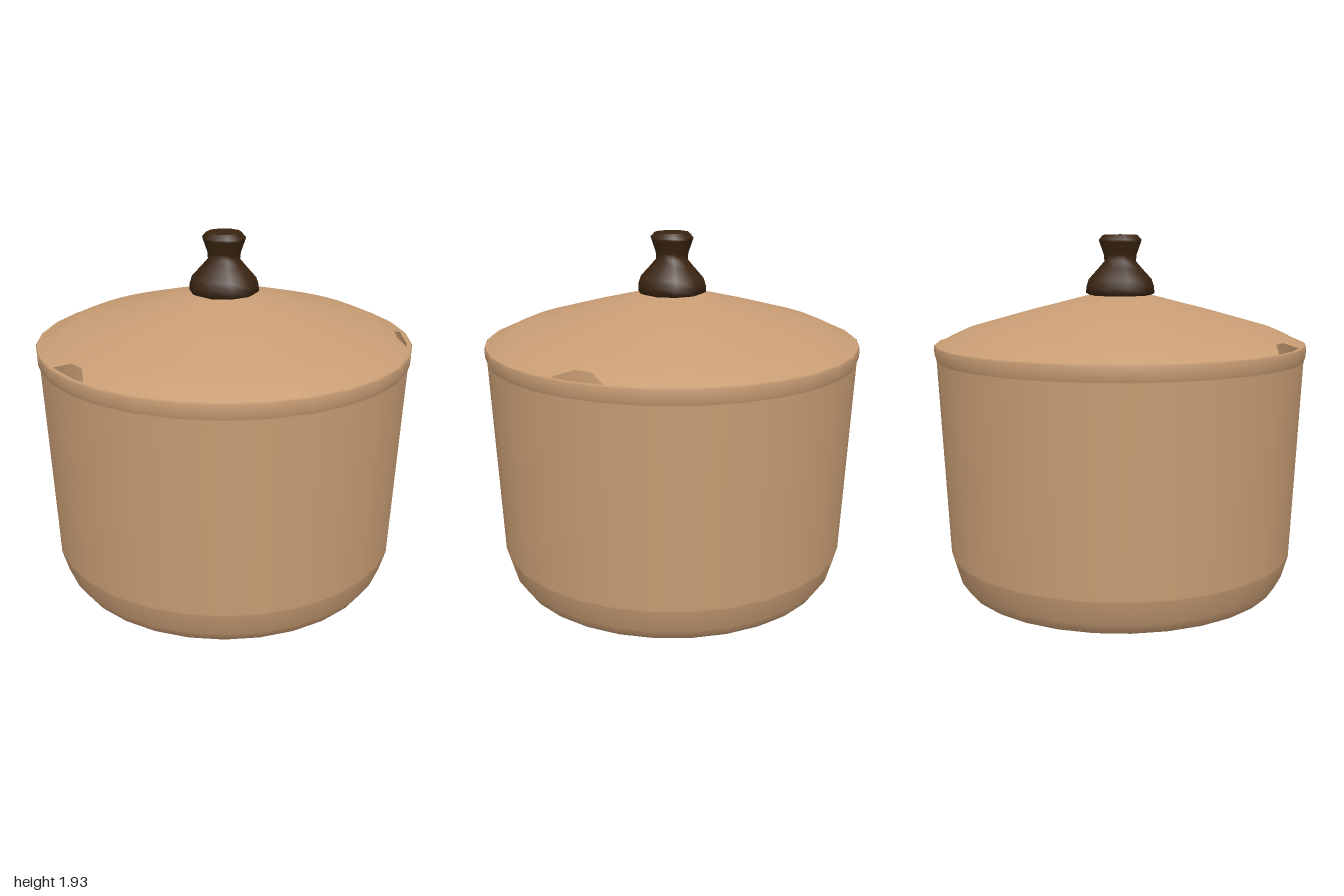
import * as THREE from 'three';

const SIDES = 30;
const lathe = (pts, sides) => new THREE.LatheGeometry(pts.map(([r, y]) => new THREE.Vector2(r, y)), sides);

function addPart(group, name, geometry, material) {
  const mesh = new THREE.Mesh(geometry, material);
  mesh.name = name;
  group.add(mesh);
}

// Lid whose edge is lifted and tucked in at the two pouring notches
function lidGeometry() {
  const geo = lathe([[0.985, 1.35], [0.9, 1.395], [0.82, 1.43], [0.5, 1.52], [0.17, 1.605], [0, 1.61]], SIDES * 2);
  const p = geo.attributes.position;
  const notches = [-0.5, 1.963];
  for (let i = 0; i < p.count; i++) {
    const x = p.getX(i), z = p.getZ(i);
    if (Math.hypot(x, z) < 0.95) continue;
    const a = Math.atan2(x, z);
    if (notches.some((n) => Math.abs(a - n) < 0.1)) {
      p.setXYZ(i, x * 0.93, 1.388, z * 0.93);
    }
  }
  return geo;
}

export function createModel() {
  const clay = new THREE.MeshStandardMaterial({ color: 0xc89d74 });
  clay.name = 'tan enamel';
  clay.side = THREE.DoubleSide;
  const wood = new THREE.MeshStandardMaterial({ color: 0x3a2411 });
  wood.name = 'dark wood';

  const pot = new THREE.Group();
  pot.name = 'lidded pot';

  // Flat base, rounded lower edge and slightly flared wall
  addPart(pot, 'base', lathe([[0, 0], [0.77, 0.003]], SIDES), clay);
  addPart(pot, 'wall', lathe([
    [0.77, 0.003], [0.865, 0.03], [0.905, 0.09], [0.94, 0.21], [0.94, 0.22], [0.988, 1.27],
  ], SIDES), clay);

  // Rim band, turned over into the hollow inside
  addPart(pot, 'rim', lathe([[0.988, 1.27], [0.998, 1.3], [1, 1.347], [0.992, 1.354], [0.972, 1.35]], SIDES), clay);
  addPart(pot, 'innerWall', lathe([[0.972, 1.35], [0.92, 0.22], [0.85, 0.07], [0, 0.05]], SIDES), clay);

  addPart(pot, 'lid', lidGeometry(), clay);

  // Turned knob
  const knob = lathe([
    [0.15, 1.6], [0.185, 1.615], [0.183, 1.65], [0.17, 1.69], [0.12, 1.745],
    [0.085, 1.785], [0.088, 1.82], [0.112, 1.888], [0.115, 1.9], [0.092, 1.925],
  ], 10);
  addPart(pot, 'knob', knob, wood);
  addPart(pot, 'knobTop', lathe([[0.092, 1.925], [0, 1.928]], 10), wood);
  return pot;
}
